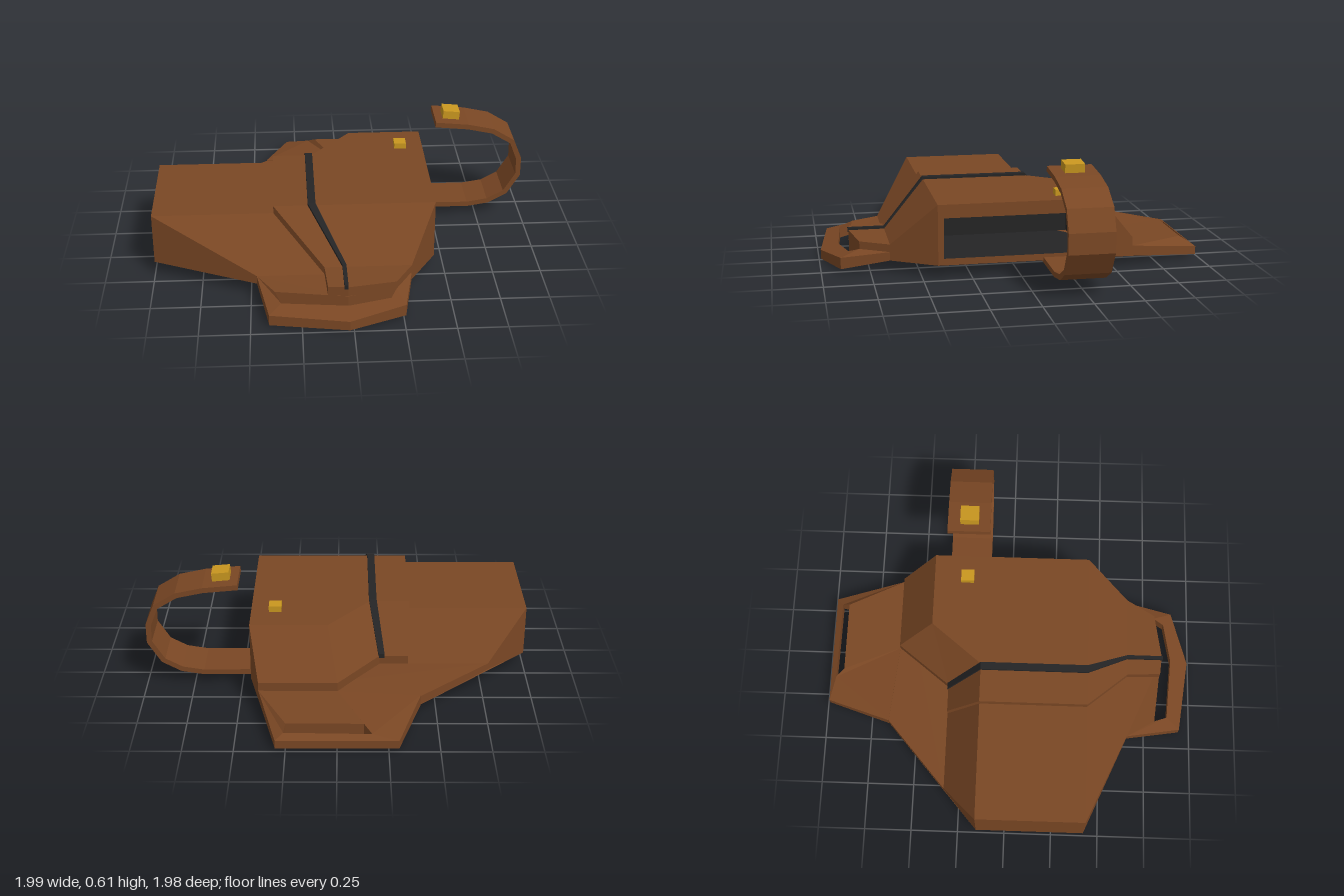
import * as THREE from 'three';
import { ConvexGeometry } from 'three/addons/geometries/ConvexGeometry.js';

const leather = new THREE.MeshStandardMaterial({ color: 0x7a4724, side: THREE.DoubleSide });
leather.name = 'brown leather';
const dark = new THREE.MeshStandardMaterial({ color: 0x242425, side: THREE.DoubleSide });
dark.name = 'black trim';
const brass = new THREE.MeshStandardMaterial({ color: 0xc9971f });
brass.name = 'brass';

const V = (p) => new THREE.Vector3(...p);

// flat polygons, each split as a fan from its first corner
function polyGeometry(faces) {
  const pos = [];
  for (const f of faces) {
    for (let i = 1; i < f.length - 1; i++) pos.push(...f[0], ...f[i], ...f[i + 1]);
  }
  const g = new THREE.BufferGeometry();
  g.setAttribute('position', new THREE.Float32BufferAttribute(pos, 3));
  g.computeVertexNormals();
  return g;
}

// plate drawn in plan (x, z) with top and bottom heights ruled by z
function plateGeometry(outline, hole, bottom, top) {
  const toPts = (a) => a.map(([x, z]) => new THREE.Vector2(x, -z));
  const shape = new THREE.Shape(toPts(outline));
  if (hole) shape.holes.push(new THREE.Path(toPts(hole)));
  const g = new THREE.ExtrudeGeometry(shape, { depth: 1, bevelEnabled: false });
  const p = g.attributes.position;
  for (let i = 0; i < p.count; i++) {
    const z = -p.getY(i);
    p.setXYZ(i, p.getX(i), THREE.MathUtils.lerp(bottom(z), top(z), p.getZ(i)), z);
  }
  g.computeVertexNormals();
  return g;
}

export function createModel() {
  const model = new THREE.Group();
  model.name = 'holster';
  const add = (name, geometry, material) => {
    const m = new THREE.Mesh(geometry, material);
    m.name = name;
    model.add(m);
    return m;
  };

  // long sleeve at the closed end
  add('sleeve', new ConvexGeometry([
    [-1, 0.34, -0.15], [-1, 0.34, 0.42], [-0.3, 0.34, 0.42], [-0.25, 0.34, -0.15],
    [-1, 0.07, -0.15], [-1, 0.07, 0.42], [-0.79, 0.105, -0.33], [-0.79, 0.07, -0.33],
    [-0.2, 0.105, -0.33], [-0.2, 0.065, -0.33], [-0.47, 0.11, 0.65], [-0.47, 0.065, 0.65],
    [-0.12, 0.11, 0.65], [-0.12, 0.065, 0.65],
  ].map(V)), leather);

  // raised cover: top corners (t), foot of the slopes (f), base (g)
  const t = [[-0.38, 0.38, -0.15], [-0.38, 0.38, 0.42], [0.45, 0.38, 0.42],
    [0.45, 0.38, -0.42], [0.05, 0.38, -0.42], [-0.17, 0.38, -0.15]];
  const f = [[-0.37, 0.15, -0.33], [-0.13, 0.15, 0.65], [0.31, 0.15, 0.65],
    [0.40, 0.15, -0.61], [0, 0.15, -0.61], [-0.22, 0.15, -0.33]];
  const g = f.map(([x, , z]) => [x, z < -0.6 ? 0.05 : 0.065, z]);
  const low = (p) => [p[0], 0.065, p[2]];
  add('cover', polyGeometry([
    [t[5], t[0], t[1], t[2], t[3], t[4]],
    [t[1], f[1], f[2], t[2]],
    [t[3], f[3], f[4], t[4]],
    [t[4], f[4], f[5], t[5]],
    [t[5], f[5], f[0], t[0]],
    ...[[1, 2], [3, 4], [4, 5], [5, 0]].map(([a, b]) => [f[a], g[a], g[b], f[b]]),
    [t[2], f[2], g[2], low(t[2])],
    [t[3], low(t[3]), g[3], f[3]],
    [t[0], low(t[0]), low(t[1]), t[1]],
    [t[1], low(t[1]), g[1], f[1]],
    [t[0], f[0], g[0], low(t[0])],
  ]), leather);

  // open end: frame around the pocket mouth
  const frame = new THREE.Shape([[-0.42, 0.065], [0.42, 0.065], [0.42, 0.38], [-0.42, 0.38]]
    .map(([a, b]) => new THREE.Vector2(a, b)));
  frame.holes.push(new THREE.Path([[-0.39, 0.1], [-0.39, 0.31], [0.37, 0.31], [0.37, 0.1]]
    .map(([a, b]) => new THREE.Vector2(a, b))));
  const mouth = add('mouthFrame', new THREE.ShapeGeometry(frame), leather);
  mouth.rotation.y = Math.PI / 2;
  mouth.position.x = 0.45;

  // pocket lining, slightly narrower at its far end
  const rect = (x, z0, z1) => [[x, 0.1, z0], [x, 0.1, z1], [x, 0.31, z1], [x, 0.31, z0]];
  const outer = rect(0.45, 0.39, -0.37);
  const inner = rect(0, 0.365, -0.345);
  add('pocketLining', polyGeometry([inner, ...outer.map((p, i) =>
    [p, inner[i], inner[(i + 1) % 4], outer[(i + 1) % 4]])]), dark);

  // underside and back brim
  add('underside', polyGeometry([[
    [-1, 0.07, -0.15], [-0.42, 0.05, -0.65], [0.40, 0.05, -0.61], [0.45, 0.065, -0.42],
    [0.45, 0.065, 0.42], [0.31, 0.065, 0.65], [-0.47, 0.065, 0.65], [-1, 0.07, 0.42],
  ]]), leather);
  add('backBrim', new ConvexGeometry([
    [-0.79, 0.105, -0.33], [-0.79, 0.07, -0.33], [-0.42, 0.1, -0.65], [-0.42, 0.05, -0.65],
    [0.40, 0.105, -0.61], [0.40, 0.05, -0.61], [0.44, 0.065, -0.42], [0, 0.1, -0.3], [0, 0.065, -0.3],
  ].map(V)), leather);

  // belt flaps with slots
  add('frontFlap', plateGeometry(
    [[-0.47, 0.65], [-0.41, 0.94], [-0.02, 0.99], [0.26, 0.9], [0.31, 0.65]],
    [[-0.38, 0.8], [-0.35, 0.87], [-0.02, 0.895], [0.19, 0.855], [0.22, 0.8], [-0.02, 0.84]],
    (z) => 0.065 - (z - 0.65) * 0.19,
    (z) => Math.min(0.11, 0.11 - (z - 0.8) * 0.32)), leather);
  add('backFlap', plateGeometry(
    [[-0.42, -0.65], [-0.3, -0.99], [0.3, -0.99], [0.4, -0.61], [0, -0.61]],
    [[-0.13, -0.915], [-0.17, -0.96], [0.26, -0.955], [0.25, -0.915]],
    (z) => 0.05 + (z + 0.61) * 0.1,
    (z) => Math.min(0.105, 0.105 + (z + 0.915) * 0.66)), leather);
  add('frontTab', plateGeometry(
    [[-0.13, 0.65], [-0.12, 0.83], [-0.02, 0.84], [0.22, 0.8], [0.31, 0.65]], null,
    () => 0.1, () => 0.15), leather);

  // black piping across the cover: x, y, z, half width
  const pipe = [[-0.23, 0.15, -0.335, 0.016], [-0.185, 0.38, -0.15, 0.02], [-0.185, 0.38, 0.42, 0.02],
    [-0.03, 0.15, 0.65, 0.01], [-0.03, 0.15, 0.845, 0.01]];
  const rings = pipe.map(([x, y, z, w]) =>
    [[x - w, y - 0.01, z], [x - w, y + 0.013, z], [x + w, y + 0.013, z], [x + w, y - 0.01, z]]);
  const pipeFaces = [rings[0], [...rings[4]].reverse()];
  for (let i = 0; i < 4; i++) {
    for (let k = 0; k < 4; k++) {
      const n = (k + 1) % 4;
      pipeFaces.push([rings[i][k], rings[i + 1][k], rings[i + 1][n], rings[i][n]]);
    }
  }
  add('piping', polyGeometry(pipeFaces), dark);

  // curled retaining strap
  const path = [[0.3, 0.055], [0.7, 0.05], [0.82, 0.07], [0.92, 0.125], [0.99, 0.24], [0.99, 0.345],
    [0.945, 0.455], [0.83, 0.525], [0.69, 0.555], [0.51, 0.572]].map(([x, y]) => new THREE.Vector2(x, y));
  const inside = path.map((p, i) => {
    const d = path[Math.min(i + 1, 9)].clone().sub(path[Math.max(i - 1, 0)]).normalize();
    return new THREE.Vector2(p.x - d.y * 0.028, p.y + d.x * 0.028);
  });
  const strap = add('strap', new THREE.ExtrudeGeometry(
    new THREE.Shape([...path, ...inside.reverse()]), { depth: 0.23, bevelEnabled: false }), leather);
  strap.position.z = -0.353;

  // snap fastener halves
  const snap = add('strapSnap', new THREE.BoxGeometry(0.09, 0.045, 0.1), brass);
  snap.position.set(0.6, 0.585, -0.235);
  snap.rotation.z = -0.09;
  add('coverSnap', new THREE.BoxGeometry(0.065, 0.045, 0.07), brass).position.set(0.325, 0.388, -0.24);

  return model;
}
